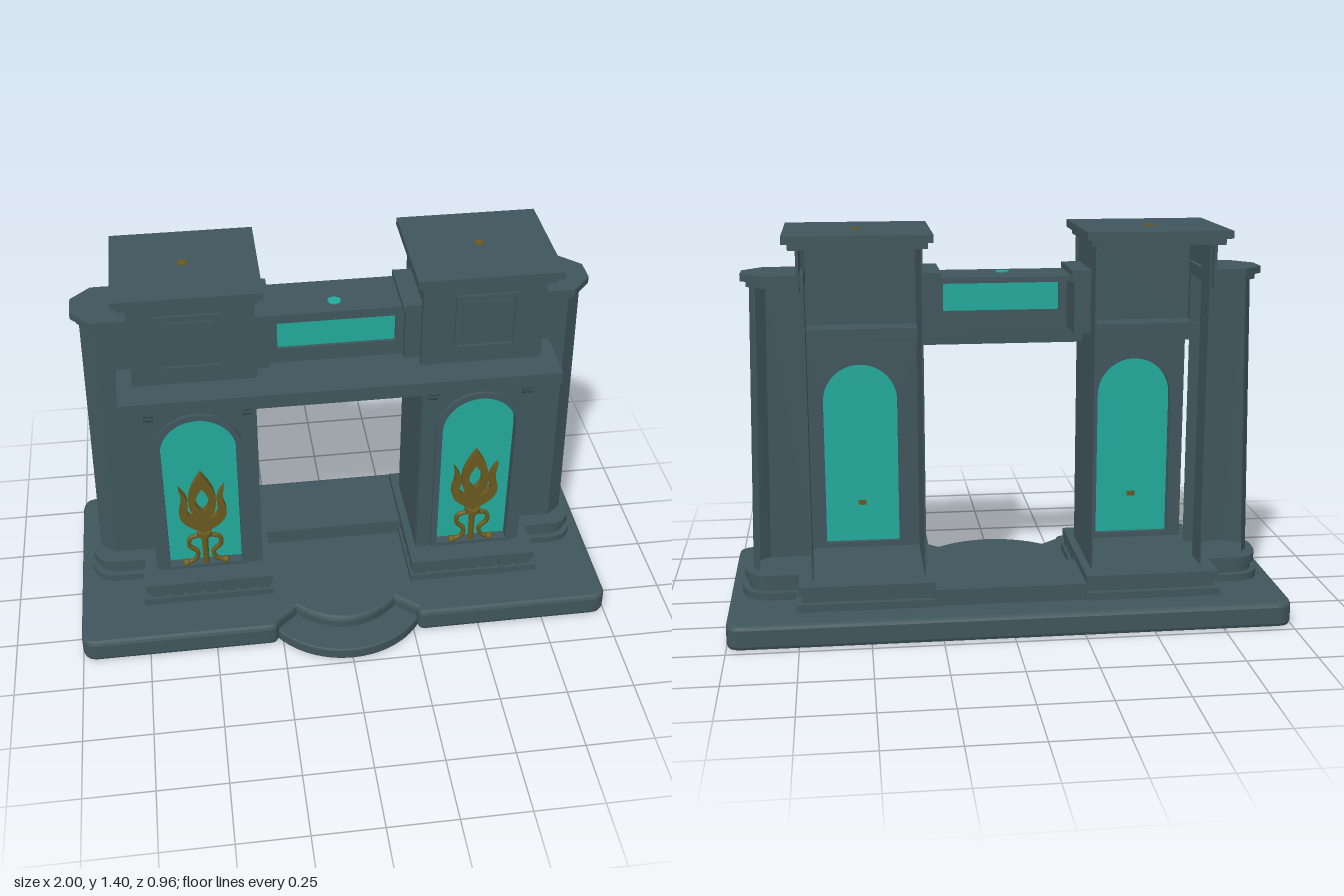
import * as THREE from 'three';

const stone = new THREE.MeshStandardMaterial({ color: 0x40565c, side: THREE.DoubleSide });
stone.name = 'slate stone';
const teal = new THREE.MeshStandardMaterial({ color: 0x22ab9c, side: THREE.DoubleSide });
teal.name = 'teal glass';
const gold = new THREE.MeshStandardMaterial({ color: 0x6b5a1e });
gold.name = 'dark gold';

function add(group, name, geo, mat = stone) {
  const m = new THREE.Mesh(geo, mat);
  m.name = name;
  group.add(m);
}

// box from its minimum and maximum corners
function box(x0, x1, y0, y1, z0, z1) {
  return new THREE.BoxGeometry(x1 - x0, y1 - y0, z1 - z0)
    .translate((x0 + x1) / 2, (y0 + y1) / 2, (z0 + z1) / 2);
}

// outline in x and -z, raised from y0 to y1 with a bevelled rim
function slab(shape, y0, y1, bevel = 0) {
  return new THREE.ExtrudeGeometry(shape, {
    depth: y1 - y0 - 2 * bevel, bevelEnabled: bevel > 0, bevelSize: bevel, bevelThickness: bevel,
    bevelOffset: -bevel, bevelSegments: 2, curveSegments: 16,
  }).rotateX(-Math.PI / 2).translate(0, y0 + bevel, 0);
}

function outline(points) {
  return new THREE.Shape(points.map(([x, z]) => new THREE.Vector2(x, -z)));
}

// upright extrusion with its back at z
function plate(shape, z, depth) {
  return new THREE.ExtrudeGeometry(shape, { depth, bevelEnabled: false, curveSegments: 16 }).translate(0, 0, z);
}

// open upright sheet following a plan line, leaning inwards at the top
function sheet(points, y0, y1, lean) {
  const pos = [];
  const at = ([x, z], y) => [x - (y === y1 ? lean * (x - 0.7) : 0), y, z];
  for (let i = 0; i + 1 < points.length; i++) {
    const a = at(points[i], y0), b = at(points[i + 1], y0);
    const c = at(points[i + 1], y1), d = at(points[i], y1);
    pos.push(...a, ...b, ...c, ...a, ...c, ...d);
  }
  const g = new THREE.BufferGeometry();
  g.setAttribute('position', new THREE.Float32BufferAttribute(pos, 3));
  g.computeVertexNormals();
  return g;
}

function archShape(cx, half, y0, spring) {
  const s = new THREE.Shape();
  s.moveTo(cx - half, y0);
  s.lineTo(cx + half, y0);
  s.lineTo(cx + half, spring);
  s.absarc(cx, spring, half, 0, Math.PI, false);
  s.closePath();
  return s;
}

function rect(x0, x1, y0, y1) {
  return new THREE.Shape([[x0, y0], [x1, y0], [x1, y1], [x0, y1]].map(p => new THREE.Vector2(...p)));
}

// reflected copy of a side, with the winding restored
function mirrored(group) {
  const out = new THREE.Group();
  for (const m of group.children) {
    const g = m.geometry.index ? m.geometry.toNonIndexed() : m.geometry.clone();
    g.scale(-1, 1, 1);
    for (const a of Object.values(g.attributes)) {
      const n = a.itemSize;
      for (let i = 0; i < a.count; i += 3) for (let k = 0; k < n; k++) {
        const p = (i + 1) * n + k, t = a.array[p];
        a.array[p] = a.array[p + n];
        a.array[p + n] = t;
      }
    }
    add(out, m.name, g, m.material);
  }
  return out;
}

function ornament(g, cx) {
  const z = 0.085;
  const tube = (pts, r) => new THREE.TubeGeometry(
    new THREE.CatmullRomCurve3(pts.map(([x, y]) => new THREE.Vector3(cx + x, y, z + 0.01))), 24, r, 6);
  // curled legs and feet
  for (const s of [-1, 1]) {
    add(g, 'ornamentLeg', tube([[s * 0.01, 0.34], [s * 0.055, 0.325], [s * 0.06, 0.29], [s * 0.03, 0.255],
      [s * 0.04, 0.22], [s * 0.085, 0.2]], 0.009), gold);
    add(g, 'ornamentFoot', new THREE.SphereGeometry(0.016, 8, 6).translate(cx + s * 0.075, 0.205, z + 0.01), gold);
    // outer prong, swelling out and tapering to a tip
    const p = new THREE.Shape();
    p.moveTo(cx, 0.36);
    p.bezierCurveTo(cx + s * 0.06, 0.39, cx + s * 0.1, 0.42, cx + s * 0.085, 0.48);
    p.quadraticCurveTo(cx + s * 0.07, 0.52, cx + s * 0.085, 0.575);
    p.quadraticCurveTo(cx + s * 0.04, 0.52, cx + s * 0.06, 0.47);
    p.quadraticCurveTo(cx + s * 0.06, 0.43, cx, 0.42);
    add(g, 'ornamentProng', plate(p, z, 0.025), gold);
  }
  add(g, 'ornamentStem', new THREE.CylinderGeometry(0.013, 0.011, 0.17, 8).translate(cx, 0.285, z + 0.01), gold);
  add(g, 'ornamentCollar', new THREE.CylinderGeometry(0.03, 0.03, 0.018, 10).translate(cx, 0.35, z + 0.01), gold);
  // pierced central flame
  const flame = (w, y0, y1, path) => {
    path.moveTo(cx, y0);
    path.quadraticCurveTo(cx + w * 1.5, y0 + (y1 - y0) * 0.4, cx, y1);
    path.quadraticCurveTo(cx - w * 1.5, y0 + (y1 - y0) * 0.4, cx, y0);
    return path;
  };
  const f = flame(0.068, 0.4, 0.64, new THREE.Shape());
  f.holes.push(flame(0.033, 0.46, 0.57, new THREE.Path()));
  add(g, 'ornamentFlame', plate(f, z, 0.025), gold);
}

function buildSide() {
  const g = new THREE.Group(), cx = 0.515;
  // plinth courses with dentils
  add(g, 'plinthFoot', box(0.265, 0.76, 0.085, 0.118, -0.37, 0.19));
  add(g, 'plinthCore', box(0.285, 0.74, 0.118, 0.15, -0.35, 0.17));
  add(g, 'plinthTop', box(0.27, 0.75, 0.148, 0.18, -0.365, 0.185));
  for (let i = 0; i < 7; i++) {
    const x = 0.28 + i * 0.067, z = -0.33 + i * 0.078;
    add(g, 'frontDentil', box(x, x + 0.045, 0.12, 0.147, 0.165, 0.182));
    add(g, 'innerDentil', box(0.273, 0.29, 0.12, 0.147, z - 0.02, z + 0.025));
  }
  // wing plinth with a rounded outer end
  const wing = d => {
    const s = new THREE.Shape();
    s.moveTo(0.7, -0.03 - d);
    s.lineTo(0.85, -0.03 - d);
    s.quadraticCurveTo(0.95 + d, -0.03 - d, 0.95 + d, 0.09);
    s.quadraticCurveTo(0.95 + d, 0.23 + d, 0.85, 0.23 + d);
    s.lineTo(0.7, 0.23 + d);
    return s;
  };
  add(g, 'wingPlinthFoot', slab(wing(0.01), 0.085, 0.118));
  add(g, 'wingPlinthCore', slab(wing(-0.012), 0.118, 0.15));
  add(g, 'wingPlinthTop', slab(wing(0), 0.148, 0.18));
  // wing pilaster, open behind, with its capital
  add(g, 'wingPilaster', sheet([[0.7, -0.03], [0.86, -0.03], [0.917, -0.075], [0.917, -0.13], [0.89, -0.17]], 0.18, 1.22, 0.12));
  const cap = d => outline([[0.7, d], [0.85, d], [0.91 + d, -0.07], [0.91 + d, -0.16], [0.85, -0.22 - d], [0.7, -0.22 - d]]);
  add(g, 'wingCapitalNeck', slab(cap(-0.01), 1.21, 1.232));
  add(g, 'wingCapital', slab(cap(0.01), 1.23, 1.255));
  // arched front with moulding and glass
  const front = rect(0.3, 0.705, 0.18, 0.98);
  front.holes.push(archShape(cx, 0.14, 0.2, 0.745));
  add(g, 'pillarFront', plate(front, 0.05, 0.045));
  const rim = archShape(cx, 0.16, 0.185, 0.745);
  rim.holes.push(archShape(cx, 0.137, 0.2, 0.745));
  add(g, 'archMoulding', plate(rim, 0.06, 0.048));
  add(g, 'archGlass', new THREE.ShapeGeometry(archShape(cx, 0.145, 0.19, 0.745), 16).translate(0, 0, 0.07), teal);
  ornament(g, cx);
  // tower walls, open at the back
  add(g, 'innerWall', box(0.298, 0.304, 0.17, 1.36, -0.29, 0.08));
  add(g, 'outerRearStrip', box(0.7, 0.706, 0.17, 1.36, -0.29, -0.18));
  add(g, 'outerUpperWall', box(0.715, 0.725, 1.2, 1.36, -0.29, 0.08));
  add(g, 'outerFrontStrip', box(0.715, 0.725, 1.0, 1.36, -0.03, 0.08));
  add(g, 'towerFront', box(0.29, 0.725, 1.02, 1.36, 0.06, 0.083));
  const frame = rect(0.405, 0.63, 1.09, 1.31);
  frame.holes.push(rect(0.42, 0.615, 1.105, 1.295));
  add(g, 'towerPanelFrame', plate(frame, 0.08, 0.012));
  add(g, 'towerPanel', box(0.432, 0.603, 1.117, 1.283, 0.08, 0.088));
  add(g, 'towerCapBed', box(0.28, 0.75, 1.35, 1.375, -0.31, 0.105));
  add(g, 'towerCap', box(0.262, 0.77, 1.373, 1.4, -0.33, 0.125));
  add(g, 'capStud', new THREE.CylinderGeometry(0.018, 0.018, 0.004, 8).translate(0.52, 1.401, -0.11), gold);
  // scrolled corbels under the beam
  const corbel = new THREE.Shape();
  corbel.moveTo(0.09, 0.975);
  corbel.lineTo(0.15, 0.975);
  corbel.quadraticCurveTo(0.145, 0.93, 0.115, 0.92);
  corbel.quadraticCurveTo(0.118, 0.89, 0.09, 0.885);
  for (const x of [0.318, 0.665]) {
    add(g, 'corbel', new THREE.ExtrudeGeometry(corbel, { depth: 0.035, bevelEnabled: false })
      .rotateY(-Math.PI / 2).translate(x + 0.035, 0, 0));
  }
  // block between tower and parapet
  add(g, 'parapetEndBlock', box(0.24, 0.3, 1.03, 1.235, -0.2, 0.03));
  add(g, 'parapetEndCap', box(0.23, 0.3, 1.232, 1.255, -0.21, 0.04));
  return g;
}

export function createModel() {
  const model = new THREE.Group();
  model.name = 'gateway';

  // base with a curved notch for the doorstep
  const b = new THREE.Shape(), r = 0.06;
  b.moveTo(-1 + r, 0.48);
  b.lineTo(1 - r, 0.48);
  b.quadraticCurveTo(1, 0.48, 1, 0.48 - r);
  b.lineTo(1, -0.37 + r);
  b.quadraticCurveTo(1, -0.37, 1 - r, -0.37);
  b.lineTo(0.3, -0.37);
  b.quadraticCurveTo(0.265, -0.37, 0.265, -0.335);
  b.lineTo(0.19, -0.27);
  b.quadraticCurveTo(0, -0.45, -0.19, -0.27);
  b.lineTo(-0.265, -0.335);
  b.quadraticCurveTo(-0.265, -0.37, -0.3, -0.37);
  b.lineTo(-1 + r, -0.37);
  b.quadraticCurveTo(-1, -0.37, -1, -0.37 + r);
  b.lineTo(-1, 0.48 - r);
  b.quadraticCurveTo(-1, 0.48, -1 + r, 0.48);
  add(model, 'base', slab(b, 0, 0.09, 0.015));
  const step = new THREE.Shape();
  step.absarc(0, -0.15, 0.33, Math.PI + 0.6, 2 * Math.PI - 0.6, false);
  step.lineTo(0.15, -0.2);
  step.lineTo(-0.15, -0.2);
  add(model, 'doorstep', slab(step, 0, 0.045, 0.006));
  add(model, 'threshold', box(-0.28, 0.28, 0.085, 0.15, -0.36, -0.1));

  // beam across both towers
  add(model, 'beam', box(-0.78, 0.78, 0.985, 1.032, -0.035, 0.195));
  add(model, 'beamBed', box(-0.77, 0.77, 0.968, 0.987, -0.03, 0.18));

  // parapet with a glass panel, open behind
  const wall = rect(-0.25, 0.25, 1.03, 1.22);
  wall.holes.push(rect(-0.21, 0.21, 1.09, 1.195));
  add(model, 'parapetFront', plate(wall, -0.03, 0.03));
  add(model, 'parapetGlass', box(-0.215, 0.215, 1.085, 1.2, -0.02, -0.012), teal);
  add(model, 'parapetTop', box(-0.24, 0.24, 1.215, 1.235, -0.2, 0.01));
  add(model, 'parapetStud', new THREE.CylinderGeometry(0.025, 0.025, 0.004, 8).translate(0, 1.236, -0.06), teal);

  const left = buildSide();
  left.name = 'leftTower';
  const right = mirrored(left);
  right.name = 'rightTower';
  model.add(left, right);
  return model;
}
